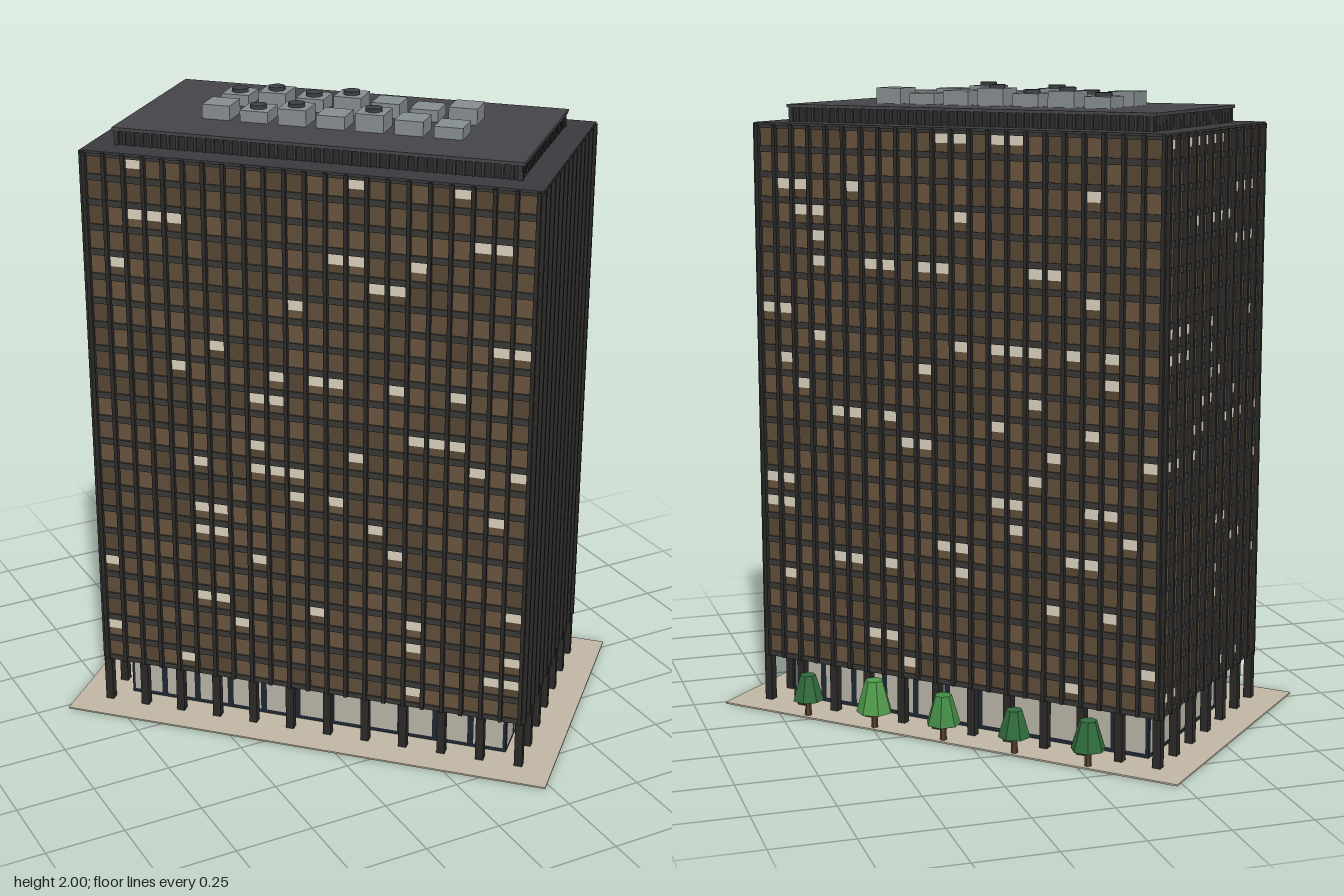
import * as THREE from 'three';
import { mergeGeometries } from 'three/addons/utils/BufferGeometryUtils.js';

const L = 0.69, W = 0.37;             // half length and half width of the glazed core
const Y0 = 0.157, Y1 = 1.877;         // bottom and top of the office floors
const FLOORS = 22, FH = (Y1 - Y0) / FLOORS;

const mat = (color) => new THREE.MeshStandardMaterial({ color, flatShading: true });

const box = (w, h, d, x, y, z) => new THREE.BoxGeometry(w, h, d).translate(x, y, z);

// four facades: half width, distance from the centre, turn, number of windows
const sides = [
  { half: L, out: W, turn: 0, n: 22 },
  { half: W, out: L, turn: Math.PI / 2, n: 12 },
  { half: L, out: W, turn: Math.PI, n: 22 },
  { half: W, out: L, turn: -Math.PI / 2, n: 12 },
];

function seeded(seed) {
  let s = seed;
  return () => {
    s = (s * 1664525 + 1013904223) >>> 0;
    return s / 4294967296;
  };
}

export function createModel() {
  const model = new THREE.Group();
  model.name = 'officeTower';
  const tower = new THREE.Group();
  tower.name = 'towerAndPlaza';
  tower.rotation.y = -Math.PI / 4;
  model.add(tower);

  const add = (name, geometry, color) => {
    const list = Array.isArray(geometry) ? geometry : [geometry];
    const mesh = new THREE.Mesh(list.length > 1 ? mergeGeometries(list) : list[0], mat(color));
    mesh.name = name;
    tower.add(mesh);
    return mesh;
  };

  // plaza slab and recessed lobby
  add('plaza', box(1.595, 0.005, 0.95, 0, 0.0035, 0), 0xbfb6a4);
  add('lobbyCore', box(1.27, Y0, 0.63, 0, Y0 / 2, 0), 0x1e2732);

  // glazed core and its roof
  add('core', box(2 * L, Y1 - Y0, 2 * W, 0, (Y0 + Y1) / 2, 0), 0x2a2622);
  add('roofLedge', box(2 * L + 0.024, 0.008, 2 * W + 0.024, 0, Y1, 0), 0x3a393d);

  // spandrel belts around every floor line
  const belts = [];
  for (let f = 0; f <= FLOORS; f++) {
    const h = f === 0 || f === FLOORS ? 0.016 : 0.02;
    const y = f === 0 ? Y0 + 0.006 : f === FLOORS ? Y1 - 0.006 : Y0 + f * FH;
    belts.push(box(2 * L + 0.016, h, 2 * W + 0.016, 0, y, 0));
  }
  add('spandrelBelts', belts, 0x383735);

  // windows, blinds, mullions, lobby panes and columns on all four sides
  const rand = seeded(77);
  const panes = [[], [], []], blinds = [], mullions = [], lobby = [], columns = [];
  for (const { half, out, turn, n } of sides) {
    const pitch = (2 * half) / n;
    const place = (list, g) => list.push(g.rotateY(turn));
    const pane = (w, h, x, y, z) => new THREE.PlaneGeometry(w, h).translate(x, y, z);
    for (let f = 0; f < FLOORS; f++) {
      const y = Y0 + (f + 0.5) * FH;
      let lit = false;
      for (let i = 0; i < n; i++) {
        const x = -half + (i + 0.5) * pitch;
        place(panes[Math.floor(rand() * 3)], pane(pitch, FH - 0.018, x, y, out + 0.002));
        lit = rand() < (lit ? 0.4 : 0.11);
        if (lit) place(blinds, pane(pitch - 0.012, 0.031, x, y + 0.0125, out + 0.004));
      }
    }
    for (let i = 0; i <= n; i++) {
      place(mullions, box(0.012, Y1 - Y0, 0.018, -half + i * pitch, (Y0 + Y1) / 2, out + 0.009));
    }
    const bays = n / 2, bay = (2 * half) / bays;
    for (let i = 0; i < bays; i++) {
      place(columns, box(0.026, Y0, 0.026, -half + i * bay, Y0 / 2, out));
      const lobbyBay = (2 * (half - 0.055)) / bays;
      const x = (i + 0.5 - bays / 2) * lobbyBay;
      place(lobby, pane(lobbyBay - 0.02, 0.115, x, 0.077, out - 0.053));
    }
  }
  [0x5e4c37, 0x66533c, 0x574633].forEach((c, i) => add('windowPanes' + (i + 1), panes[i], c));
  add('litBlinds', blinds, 0xd9d0bc);
  add('mullions', mullions, 0x2b2a29);
  add('lobbyPanes', lobby, 0xb9b3a6);
  add('columns', columns, 0x2a2928);

  // louvred penthouse with a flat cap
  const PL = 0.62, PW = 0.295, PY = 1.93;
  add('penthouse', box(2 * PL, PY - Y1, 2 * PW, 0, (PY + Y1) / 2, 0), 0x2a2a2c);
  add('penthouseCap', box(2 * PL + 0.018, 0.01, 2 * PW + 0.018, 0, PY, 0), 0x454449);
  const fins = [];
  for (const { half, out, turn, n } of sides) {
    const h = half - L + PL, count = n * 2, o = out - L + PL;
    for (let i = 0; i <= count; i++) {
      const x = -h + (2 * h * i) / count;
      fins.push(box(0.008, 0.048, 0.012, x, 1.904, o + (PW - W) - (PL - L)).rotateY(turn));
    }
  }
  add('penthouseFins', fins, 0x38383a);

  // two rows of rooftop units, some with a fan
  const fanned = ['1111000', '0110100'];
  const units = [], fans = [];
  for (let r = 0; r < 2; r++) {
    for (let i = 0; i < 7; i++) {
      const x = (i - 3) * 0.1205, z = r ? 0.085 : -0.085;
      const h = 0.036 + 0.019 * (((i * 3 + r * 2) % 5) / 4);
      units.push(box(0.088, h, 0.094, x, 1.934 + h / 2, z));
      if (fanned[r][i] === '1') {
        fans.push(new THREE.CylinderGeometry(0.026, 0.026, 0.011, 12).translate(x, 1.934 + h + 0.0055, z));
      }
    }
  }
  add('rooftopUnits', units, 0x868d90);
  add('rooftopFans', fans, 0x3c4044);

  // row of trees along one long side
  const heights = [0.148, 0.142, 0.15, 0.16, 0.14];
  const greens = [0x2f6b3c, 0x2f6b3c, 0x448a46, 0x4f9a4d, 0x2f6b3c];
  heights.forEach((top, i) => {
    const x = (i - 2) * 0.2475 - 0.004, z = -0.4535, r = top * 0.36;
    add('treeTrunk', new THREE.CylinderGeometry(0.009, 0.011, 0.06, 6).translate(x, 0.033, z), 0x5a4030);
    const crown = new THREE.CylinderGeometry(r * 0.5, r, top - 0.058, 7);
    add('treeCrown', crown.rotateY(i * 0.4).translate(x, (top + 0.058) / 2, z), greens[i]);
  });

  return model;
}
